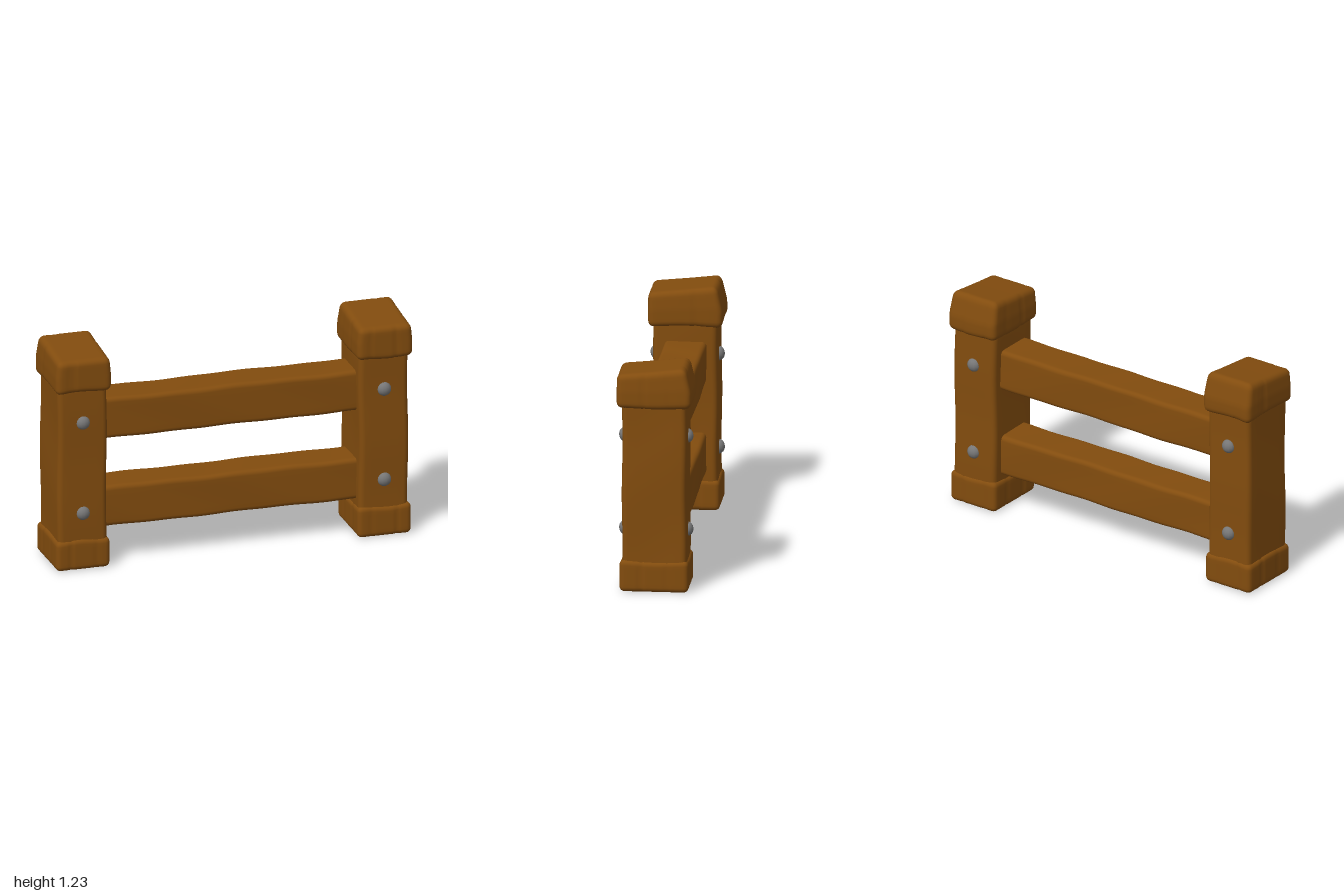
import * as THREE from 'three';
import { mergeVertices } from 'three/addons/utils/BufferGeometryUtils.js';

const wood = new THREE.MeshStandardMaterial({ color: 0x824c0e });
wood.name = 'brownWood';
const steel = new THREE.MeshStandardMaterial({ color: 0x777777 });
steel.name = 'greyBolt';

// Rounded box with evenly divided faces, then bent by a rule
function softBox(size, r, segs, rule) {
  const geo = new THREE.BoxGeometry(2, 2, 2, ...segs);
  geo.deleteAttribute('uv');
  geo.deleteAttribute('normal');
  const pos = geo.attributes.position;
  const p = new THREE.Vector3(), inner = new THREE.Vector3();
  const edge = 3; // grid steps spent on each rounded edge
  for (let i = 0; i < pos.count; i++) {
    p.fromBufferAttribute(pos, i);
    ['x', 'y', 'z'].forEach((a, k) => {
      const n = segs[k], half = size[k] / 2;
      const j = Math.round((p[a] + 1) / 2 * n);
      if (j < edge) p[a] = -half + r * j / edge;
      else if (j > n - edge) p[a] = half - r * (n - j) / edge;
      else p[a] = (half - r) * (2 * (j - edge) / (n - 2 * edge) - 1);
      inner[a] = THREE.MathUtils.clamp(p[a], r - half, half - r);
    });
    p.sub(inner).normalize().multiplyScalar(r).add(inner);
    if (rule) rule(p);
    pos.setXYZ(i, p.x, p.y, p.z);
  }
  const out = mergeVertices(geo, 1e-5);
  out.computeVertexNormals();
  return out;
}

// Shallow vertical split in the front, back and side faces of a block
function split(p, at, depth) {
  const cut = (v) => depth * Math.max(0, 1 - Math.abs(v - at) / 0.014);
  if (Math.abs(p.z) > 0.165) p.z -= Math.sign(p.z) * cut(p.x);
  if (Math.abs(p.x) > 0.135) p.x -= Math.sign(p.x) * cut(p.z);
}

function addMesh(parent, name, geo, mat, x, y, z) {
  const mesh = new THREE.Mesh(geo, mat);
  mesh.name = name;
  mesh.position.set(x, y, z);
  parent.add(mesh);
  return mesh;
}

function makePost(name, side) {
  const post = new THREE.Group();
  post.name = name;

  // Shaft with slightly uneven faces
  addMesh(post, 'shaft', softBox([0.275, 1.0, 0.345], 0.03, [12, 28, 12], (p) => {
    p.x += 0.003 * Math.sin(9 * p.y + side + 6 * p.z);
    p.z += 0.002 * Math.sin(11 * p.y + 2 * side);
  }), wood, 0, 0.57, 0);

  // Foot block
  addMesh(post, 'foot', softBox([0.3, 0.17, 0.37], 0.027, [24, 12, 24], (p) => {
    if (p.y > 0.02) p.y += 0.004 * Math.sin(24 * p.x + side) * Math.cos(17 * p.z);
    split(p, 0.07 * side, 0.006);
    split(p, -0.075 * side, 0.004);
  }), wood, 0, 0.085, 0);

  // Cap with a top rising to the back and a cut-back rear edge
  addMesh(post, 'cap', softBox([0.31, 0.2, 0.4], 0.032, [24, 14, 24], (p) => {
    const t = THREE.MathUtils.clamp((p.y + 0.1) / 0.2, 0, 1);
    split(p, 0.06 * side, 0.006);
    split(p, -0.085, 0.004);
    p.y += t * (0.003 - 0.1 * p.z) + (1 - t) * 0.004 * Math.sin(22 * p.x + side) * Math.cos(15 * p.z);
    if (p.z < 0) p.z *= 1 - 0.16 * Math.max(0, (t - 0.4) / 0.6);
    p.x *= 1 - 0.06 * Math.max(0, (t - 0.5) / 0.5);
  }), wood, 0, 1.112, 0);

  // Bolt heads on front and back
  for (const y of [0.32, 0.835]) {
    for (const face of [1, -1]) {
      const bolt = addMesh(post, 'bolt', new THREE.SphereGeometry(0.039, 12, 8), steel, 0, y, face * 0.168);
      bolt.scale.z = 0.82;
    }
  }
  post.position.x = side * 0.844;
  return post;
}

export function createModel() {
  const fence = new THREE.Group();
  fence.name = 'fence';
  fence.add(makePost('leftPost', 1), makePost('rightPost', -1));

  // Two hewn rails between the posts
  [['lowerRail', 0.315], ['upperRail', 0.816]].forEach(([name, y], k) => {
    addMesh(fence, name, softBox([1.5, 0.23, 0.228], 0.026, [48, 12, 12], (p) => {
      p.y += 0.002 * Math.sin(8 * p.x + k) + 0.0015 * Math.sin(19 * p.x + 12 * p.z);
      p.z += 0.002 * Math.sin(7 * p.x + 2 * k + 16 * p.y);
    }), wood, 0, y, 0);
  });
  return fence;
}
